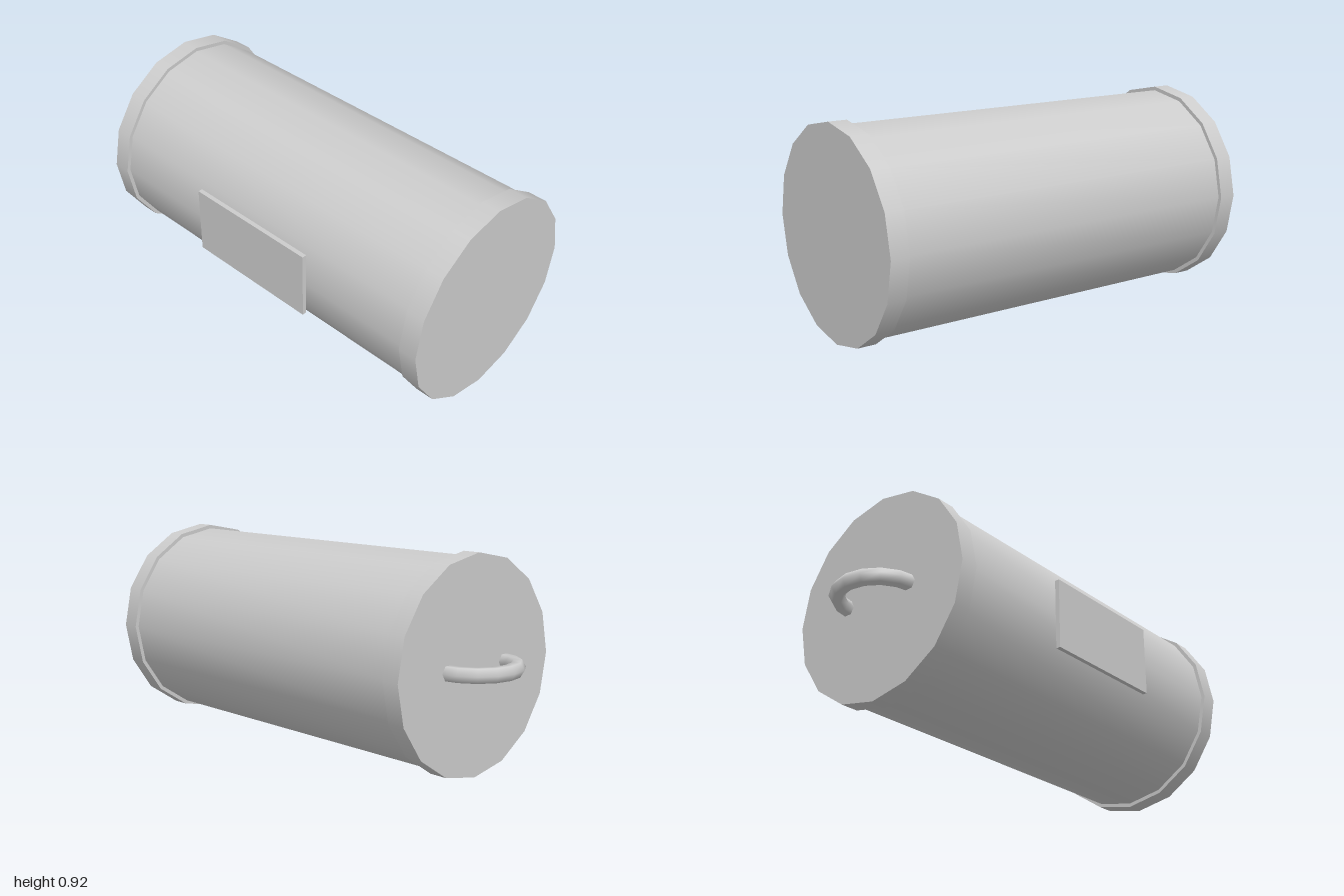
import * as THREE from 'three';

export function createModel() {
  const model = new THREE.Group();
  const grey = new THREE.MeshStandardMaterial({ color: 0xcccccc });
  grey.name = 'light grey';

  const axisY = 0.46, axisZ = -0.002;

  function add(name, geometry, x, y, z) {
    const mesh = new THREE.Mesh(geometry, grey);
    mesh.name = name;
    mesh.position.set(x, y, z);
    model.add(mesh);
  }

  // Sixteen-sided drum lying along x
  function addDrum(name, radius, x0, x1) {
    const geometry = new THREE.CylinderGeometry(radius, radius, x1 - x0, 16).rotateZ(Math.PI / 2);
    add(name, geometry, (x0 + x1) / 2, axisY, axisZ);
  }

  addDrum('body', 0.443, -0.77, 0.96);
  addDrum('rightEndCap', 0.46, -0.808, -0.728);
  addDrum('leftEndCap', 0.46, 0.917, 1);

  // Half-ring handle with a hexagonal section
  const ring = new THREE.TorusGeometry(0.178, 0.034, 6, 8, Math.PI);
  ring.rotateZ(Math.PI / 2).rotateX(Math.PI / 2);
  add('handle', ring, -0.788, axisY, axisZ);

  // Raised plate on the front of the body
  add('frontPlate', new THREE.BoxGeometry(0.624, 0.314, 0.02), 0.094, 0.462, 0.452);

  return model;
}
